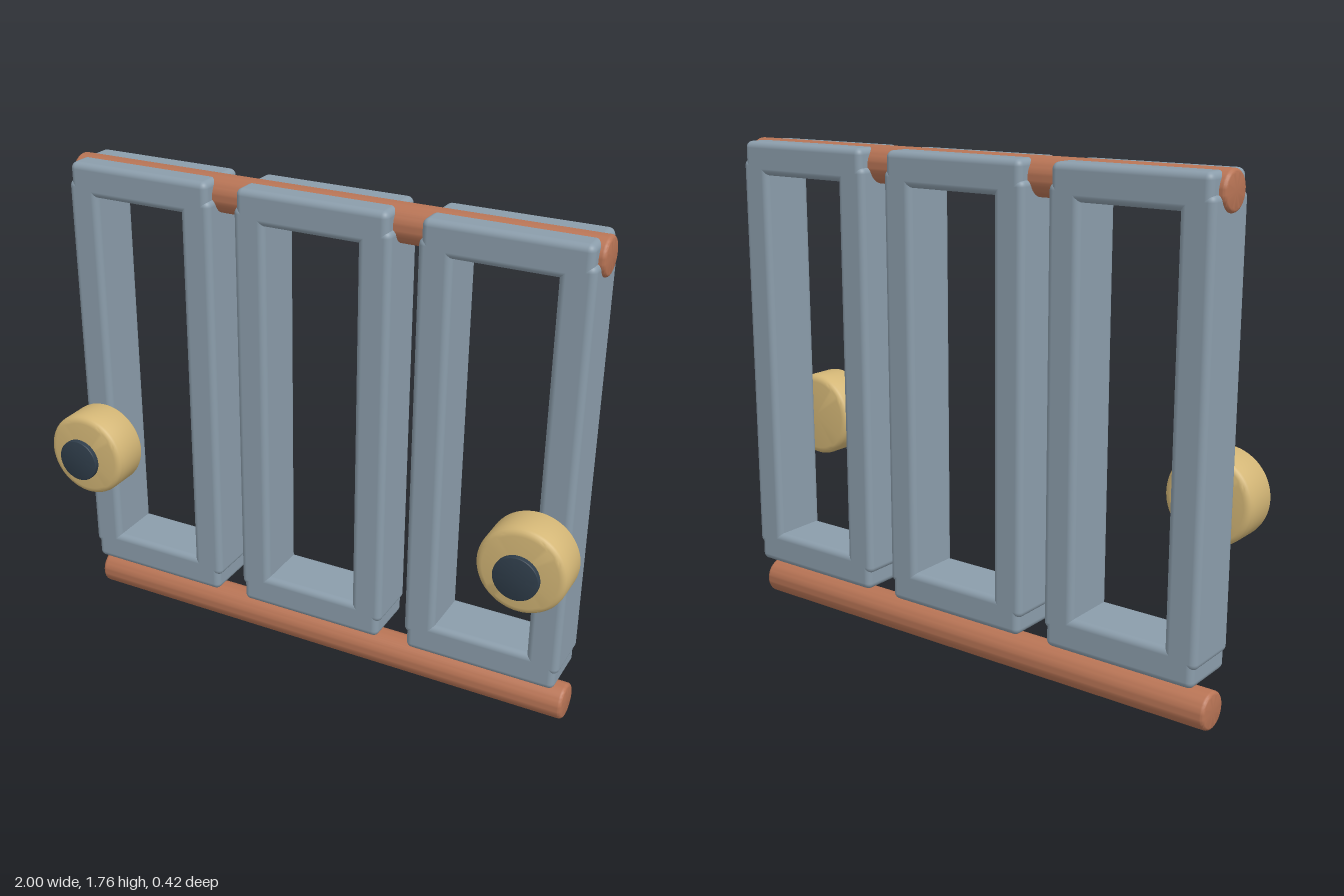
import * as THREE from 'three';
import { RoundedBoxGeometry } from 'three/addons/geometries/RoundedBoxGeometry.js';
import { toCreasedNormals } from 'three/addons/utils/BufferGeometryUtils.js';

const mat = (name, color) => {
  const m = new THREE.MeshStandardMaterial({ color });
  m.name = name;
  return m;
};

// Cylinder along y with rounded rims
function roundedCylinder(radius, length, bevel, segments = 48) {
  const h = length / 2;
  const pts = [new THREE.Vector2(0, -h)];
  for (const s of [-1, 1]) {
    for (let i = 0; i <= 5; i++) {
      const a = (s < 0 ? i / 5 - 1 : i / 5) * Math.PI / 2;
      pts.push(new THREE.Vector2(radius - bevel + bevel * Math.cos(a), s * (h - bevel) + bevel * Math.sin(a)));
    }
  }
  pts.push(new THREE.Vector2(0, h));
  return toCreasedNormals(new THREE.LatheGeometry(pts, segments), 0.6);
}

export function createModel() {
  const model = new THREE.Group();
  model.name = 'slidingPanelRack';

  const steel = mat('blue grey frame', 0x8b9dab);
  const copper = mat('copper brown rail', 0xb87455);
  const tan = mat('tan knob', 0xd3b676);
  const dark = mat('dark cap', 0x2f3d4a);

  const add = (parent, name, geometry, material, x, y, z) => {
    const mesh = new THREE.Mesh(geometry, material);
    mesh.name = name;
    mesh.position.set(x, y, z);
    parent.add(mesh);
    return mesh;
  };

  const zMid = -0.103;

  // Upper and lower rails
  const railGeo = roundedCylinder(0.065, 1.925, 0.014).rotateZ(-Math.PI / 2);
  add(model, 'lowerRail', railGeo, copper, 0, 0.066, zMid);
  add(model, 'upperRail', railGeo, copper, 0, 1.696, zMid);

  // Three upright frames, each of two stiles and two cross bars
  const stileGeo = new RoundedBoxGeometry(0.115, 1.46, 0.214, 4, 0.023);
  const barGeo = new RoundedBoxGeometry(0.552, 0.118, 0.214, 4, 0.023);
  for (const [name, x] of [['right', -0.664], ['middle', 0], ['left', 0.664]]) {
    const frame = new THREE.Group();
    frame.name = name + 'Frame';
    frame.position.set(x, 0, zMid);
    for (const s of [-1, 1]) {
      add(frame, s < 0 ? 'rightStile' : 'leftStile', stileGeo, steel, s * 0.2285, 0.962, 0);
      add(frame, s < 0 ? 'bottomBar' : 'topBar', barGeo, steel, 0, 0.962 + s * 0.734, 0);
    }
    model.add(frame);
  }

  // Round knobs with floating dark caps
  const knobGeo = roundedCylinder(0.155, 0.153, 0.025, 64).rotateX(Math.PI / 2);
  const capGeo = roundedCylinder(0.078, 0.021, 0.004).rotateX(Math.PI / 2);
  for (const s of [-1, 1]) {
    const knob = new THREE.Group();
    knob.name = s < 0 ? 'rightKnob' : 'leftKnob';
    knob.position.set(s * 0.845, 0.708, 0);
    add(knob, 'knobBody', knobGeo, tan, 0, 0, 0.09);
    add(knob, 'knobCap', capGeo, dark, 0, 0, 0.2);
    model.add(knob);
  }

  return model;
}
